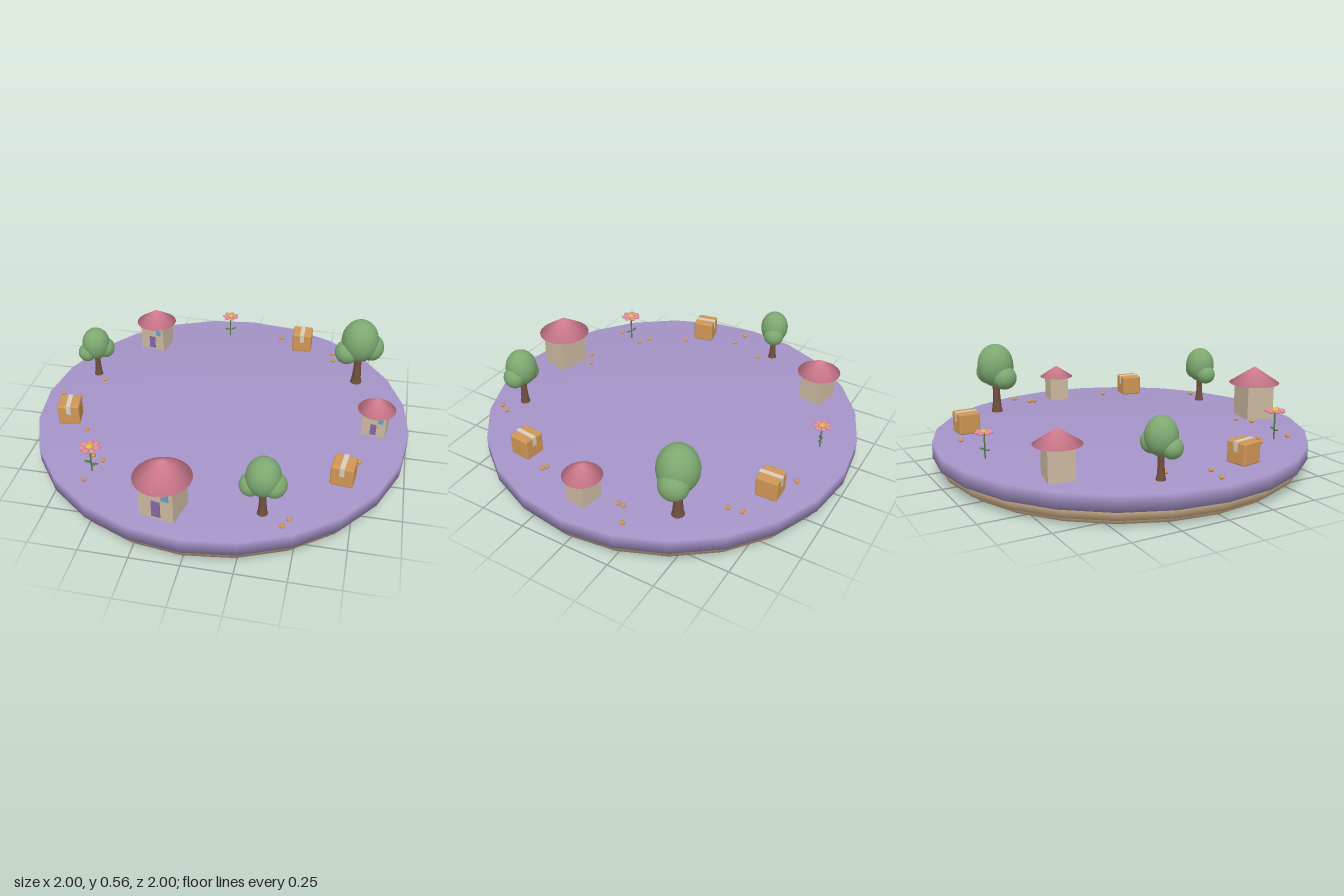
import * as THREE from 'three';
import { mergeVertices } from 'three/addons/utils/BufferGeometryUtils.js';
import { RoundedBoxGeometry } from 'three/addons/geometries/RoundedBoxGeometry.js';

const GROUND = 0.165;
const mat = (color) => new THREE.MeshStandardMaterial({ color });
const M = {
  lawn: mat(0xa594c8), base: mat(0xcdb08a), wall: mat(0xcbb8a0), roof: mat(0xd98095),
  door: mat(0x8468a8), window: mat(0x5fa6c8), leaf: mat(0x7da870), trunk: mat(0x70503f),
  box: mat(0xd09655), tape: mat(0xd8cdbb), petal: mat(0xe08a9c), pollen: mat(0xe0b840),
  stem: mat(0x4f7a48), pebble: mat(0xd0924f),
};

function add(parent, name, geometry, material, x = 0, y = 0, z = 0) {
  const mesh = new THREE.Mesh(geometry, material);
  mesh.name = name;
  mesh.position.set(x, y, z);
  parent.add(mesh);
  return mesh;
}

// Shares normals across hard edges for a soft, rounded look
function soften(geometry) {
  geometry.deleteAttribute('uv');
  geometry.deleteAttribute('normal');
  const merged = mergeVertices(geometry);
  merged.computeVertexNormals();
  return merged;
}

function place(parent, name, x, z, turn, scale) {
  const group = new THREE.Group();
  group.name = name;
  group.position.set(x, GROUND, z);
  group.rotation.y = turn;
  group.scale.setScalar(scale);
  parent.add(group);
  return group;
}

// House: box walls, cone roof, door and window on the front
function house(parent, x, z, turn, scale) {
  const g = place(parent, 'house', x, z, turn, scale);
  add(g, 'walls', new THREE.BoxGeometry(0.178, 0.205, 0.158), M.wall, 0, 0.1025, 0);
  add(g, 'roof', soften(new THREE.ConeGeometry(0.142, 0.095, 24)), M.roof, 0, 0.243, 0);
  add(g, 'door', new THREE.BoxGeometry(0.045, 0.092, 0.008), M.door, 0, 0.062, 0.08);
  add(g, 'window', new THREE.BoxGeometry(0.036, 0.04, 0.008), M.window, 0.05, 0.145, 0.08);
}

// Tree: flared trunk and three overlapping crown lobes
function tree(parent, x, z, turn, scale) {
  const g = place(parent, 'tree', x, z, turn, scale);
  const profile = [[0.033, 0], [0.026, 0.03], [0.021, 0.1], [0.022, 0.2]];
  add(g, 'trunk', new THREE.LatheGeometry(profile.map((p) => new THREE.Vector2(...p)), 12), M.trunk);
  const lobes = [
    [0, 0.275, 0, 0.104, 0.125, 0.104],
    [-0.067, 0.21, 0.025, 0.068, 0.068, 0.07],
    [0.067, 0.23, -0.012, 0.07, 0.075, 0.076],
  ];
  for (const [lx, ly, lz, ...size] of lobes) {
    add(g, 'crownLobe', new THREE.SphereGeometry(1, 24, 16), M.leaf, lx, ly, lz).scale.set(...size);
  }
}

// Parcel: rounded box, zigzag-ended tape over the top and part way down two sides
function parcel(parent, x, z, turn) {
  const g = place(parent, 'parcel', x, z, turn, 1);
  add(g, 'carton', new RoundedBoxGeometry(0.114, 0.112, 0.114, 2, 0.009), M.box, 0, 0.064, 0);
  add(g, 'topTape', new THREE.BoxGeometry(0.024, 0.003, 0.117), M.tape, 0, 0.1205, 0);
  for (const side of [-1, 1]) {
    add(g, 'sideTape', new THREE.BoxGeometry(0.024, 0.05, 0.003), M.tape, 0, 0.097, side * 0.0575);
  }
}

// Flower: stem, two leaves, ring of petals around a yellow middle
function flower(parent, x, z, turn, scale) {
  const g = place(parent, 'flower', x, z, turn, scale);
  add(g, 'stem', new THREE.CylinderGeometry(0.004, 0.004, 0.15, 8), M.stem, 0, 0.075, 0);
  for (const side of [-1, 1]) {
    const leaf = add(g, 'leaf', new THREE.SphereGeometry(1, 12, 8), M.stem, side * 0.02, 0.052, side * 0.006);
    leaf.scale.set(0.02, 0.004, 0.009);
    leaf.rotation.z = side * 0.2;
  }
  const count = 7;
  for (let i = 0; i < count; i++) {
    const a = (i / count) * Math.PI * 2;
    const petal = add(g, 'petal', new THREE.SphereGeometry(1, 12, 8), M.petal,
      Math.cos(a) * 0.037, 0.152, Math.sin(a) * 0.037);
    petal.scale.set(0.019, 0.008, 0.016);
    petal.rotation.y = -a;
  }
  add(g, 'flowerMiddle', new THREE.SphereGeometry(1, 14, 10), M.pollen, 0, 0.155, 0).scale.set(0.02, 0.012, 0.02);
}

export function createModel() {
  const model = new THREE.Group();
  model.name = 'villageIsland';

  // Stepped round platform: radius, bottom, top
  const tiers = [
    ['lawn', 1, 0.085, GROUND, M.lawn],
    ['upperStep', 0.965, 0.033, 0.085, M.base],
    ['lowerStep', 0.92, 0, 0.033, M.base],
  ];
  for (const [name, r, y0, y1, material] of tiers) {
    add(model, name, soften(new THREE.CylinderGeometry(r, r, y1 - y0, 24)), material, 0, (y0 + y1) / 2, 0);
  }

  house(model, -0.12, 0.81, -0.2, 1);
  house(model, -0.54, -0.62, -0.2, 0.82);
  house(model, 0.82, 0, -0.15, 0.7);

  tree(model, -0.79, -0.23, 0.2, 0.75);
  tree(model, 0.34, 0.75, -0.3, 0.81);
  tree(model, 0.69, -0.445, 0.05, 1);

  parcel(model, 0.34, -0.75, 0.03);
  parcel(model, 0.69, 0.445, -0.12);
  parcel(model, -0.79, 0.23, 0.2);

  flower(model, -0.54, 0.62, 0, 1);
  flower(model, -0.12, -0.815, 0.6, 0.88);

  // Scattered pebbles
  const spots = [
    [0.2, -0.83], [0.53, -0.7], [0.54, -0.63], [0.88, -0.26], [0.78, -0.2], [0.78, -0.17], [0.74, 0.285],
    [0.76, 0.295], [0.47, 0.775], [0.445, 0.825], [-0.16, 0.66], [-0.24, 0.71], [-0.57, 0.51],
    [-0.51, 0.54], [-0.555, 0.7], [-0.675, 0.31], [-0.915, 0.015], [-0.81, 0.03], [-0.73, -0.165],
  ];
  for (const [x, z] of spots) {
    add(model, 'pebble', new THREE.SphereGeometry(0.013, 12, 8), M.pebble, x, GROUND + 0.008, z).scale.y = 0.75;
  }
  return model;
}
